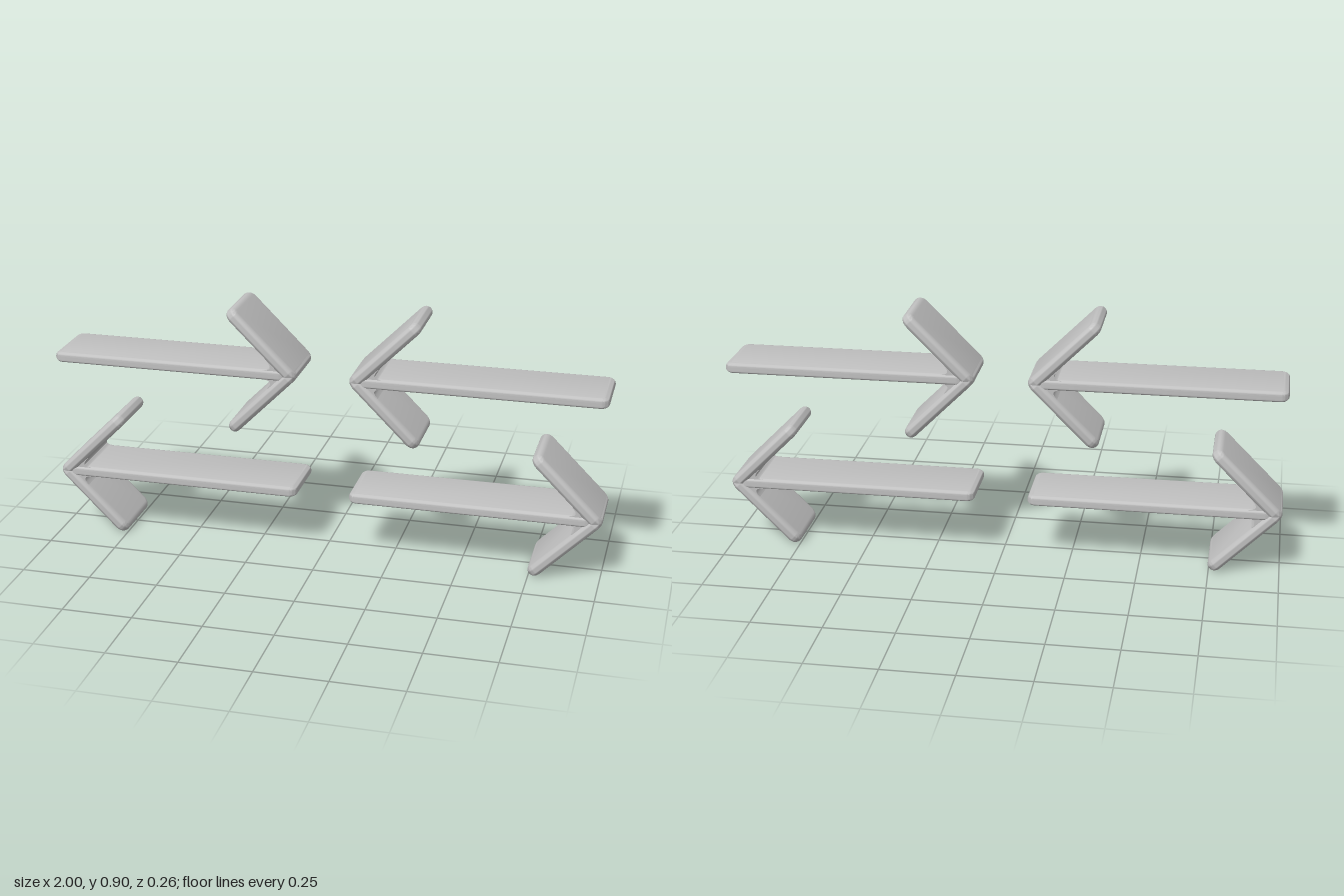
import * as THREE from 'three';
import { toCreasedNormals } from 'three/addons/utils/BufferGeometryUtils.js';

const grey = new THREE.MeshStandardMaterial({ color: 0xc0c0c0 });
grey.name = 'light grey';

// Flat plate from x0 to x1 with rounded corners and fully rounded rims (thickness 2r along y)
function plate(x0, x1, halfWidth, r, corner) {
  const c = corner - r, a = x0 + r, b = x1 - r, w = halfWidth - r;
  const s = new THREE.Shape();
  s.absarc(b - c, w - c, c, 0, Math.PI / 2);
  s.absarc(a + c, w - c, c, Math.PI / 2, Math.PI);
  s.absarc(a + c, c - w, c, Math.PI, Math.PI * 1.5);
  s.absarc(b - c, c - w, c, Math.PI * 1.5, Math.PI * 2);
  s.closePath();
  const depth = 0.002;
  const g = new THREE.ExtrudeGeometry(s, {
    depth, bevelEnabled: true, bevelSize: r, bevelThickness: r - depth / 2,
    bevelSegments: 6, curveSegments: 5,
  });
  g.translate(0, 0, -depth / 2);
  g.rotateX(-Math.PI / 2);
  return toCreasedNormals(g, 0.9);
}

// Concave blend between shaft and barb; side is +1 above, -1 below
function filletGeometry(side) {
  const s = new THREE.Shape();
  s.moveTo(0.12, 0.017 * side);
  s.quadraticCurveTo(0.074, 0.019 * side, 0.106, 0.052 * side);
  s.lineTo(0.06, 0.036 * side);
  s.lineTo(0.05, 0);
  s.lineTo(0.12, 0);
  s.closePath();
  const g = new THREE.ExtrudeGeometry(s, { depth: 0.23, bevelEnabled: false, curveSegments: 6 });
  g.translate(0, 0, -0.115);
  return toCreasedNormals(g, 0.6);
}

function add(group, geometry, name) {
  const m = new THREE.Mesh(geometry, grey);
  m.name = name;
  group.add(m);
  return m;
}

// Arrow with its tip at the origin, pointing to -x
function createArrow() {
  const arrow = new THREE.Group();
  const R = 0.022;
  add(arrow, plate(0.03, 0.905, 0.125, 0.019, 0.032), 'shaft');
  for (const side of [1, -1]) {
    const label = side > 0 ? 'upper' : 'lower';
    const barb = add(arrow, plate(-R, 0.209 * Math.SQRT2 + R, 0.128, R, 0.036), label + 'Barb');
    barb.position.x = R;
    barb.rotation.z = side * Math.PI / 4;
    add(arrow, filletGeometry(side), label + 'Fillet');
  }
  return arrow;
}

export function createModel() {
  const model = new THREE.Group();
  model.name = 'fourArrows';
  // Upper pair points inward, lower pair points outward
  const rows = [
    { name: 'upper', y: 0.674, tip: 0.095, inward: true },
    { name: 'lower', y: 0.232, tip: 1, inward: false },
  ];
  for (const { name, y, tip, inward } of rows) {
    for (const side of [1, -1]) {
      const arrow = createArrow();
      arrow.name = name + (side > 0 ? 'LeftArrow' : 'RightArrow');
      arrow.position.set(side * tip, y, 0);
      const pointsToPlusX = inward ? side < 0 : side > 0;
      arrow.rotation.y = pointsToPlusX ? Math.PI : 0;
      model.add(arrow);
    }
  }
  return model;
}
